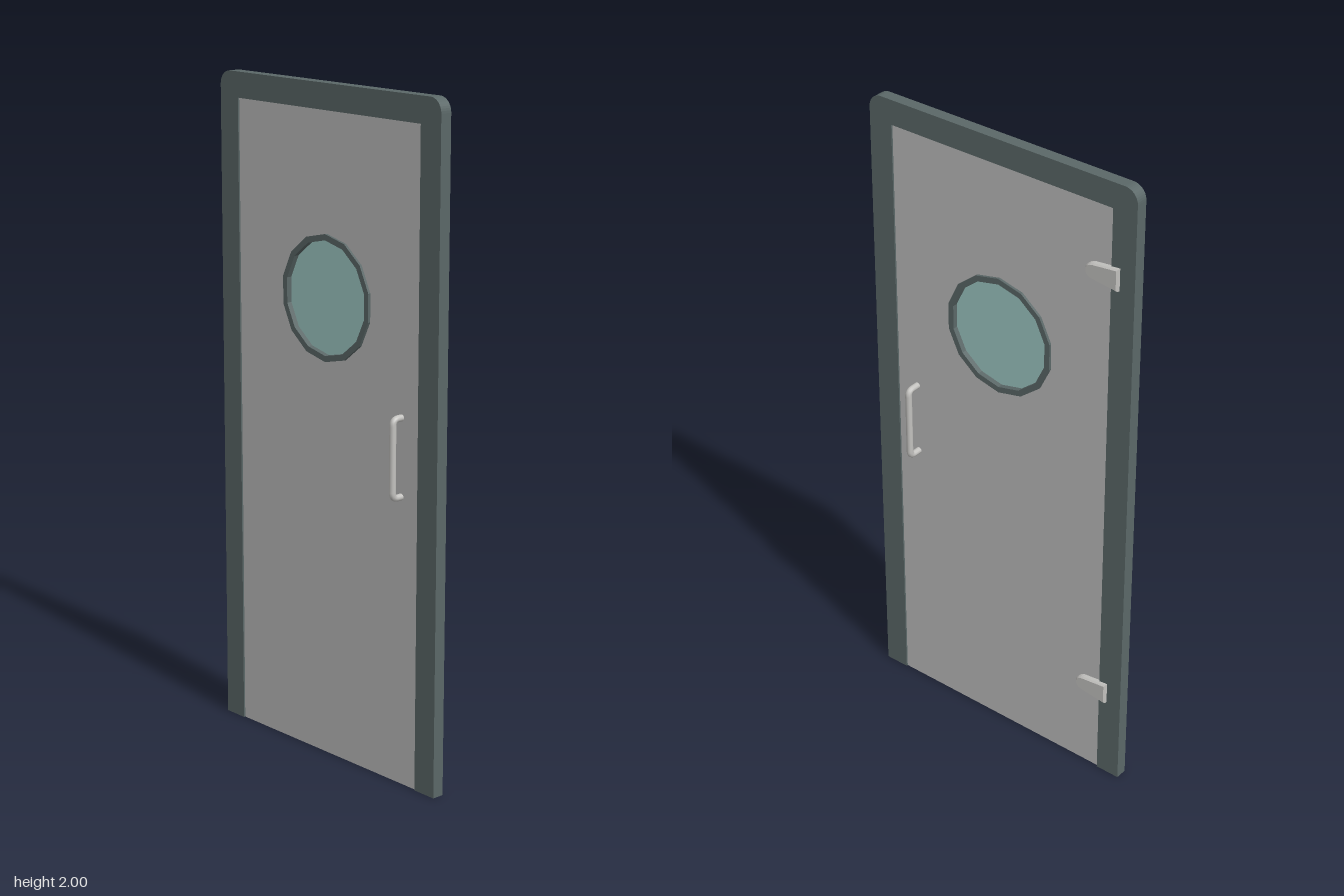
import * as THREE from 'three';

export function createModel() {
  const door = new THREE.Group();
  door.name = 'door';
  const mat = (name, color) => {
    const m = new THREE.MeshStandardMaterial({ color });
    m.name = name;
    return m;
  };
  const frameGrey = mat('frame grey', 0x5b6868);
  const panelGrey = mat('panel grey', 0xbfbfbf);
  const glassTeal = mat('glass teal', 0xa0cbc6);
  const metal = mat('brushed metal', 0xc4c3c0);

  const add = (name, geometry, material) => {
    const mesh = new THREE.Mesh(geometry, material);
    mesh.name = name;
    door.add(mesh);
    return mesh;
  };
  // Extrudes a profile along x from x0 to x1; the profile's own x runs towards -z
  const slab = (shape, x0, x1, opts = {}) => {
    const g = new THREE.ExtrudeGeometry(shape, { depth: x1 - x0, bevelEnabled: false, curveSegments: 5, ...opts });
    g.translate(0, 0, x0);
    g.rotateY(Math.PI / 2);
    return g;
  };
  const polygon = (radius, sides = 14) => Array.from({ length: sides }, (_, i) => {
    const a = Math.PI / 2 + (i / sides) * Math.PI * 2;
    return new THREE.Vector2(Math.cos(a) * radius, 1.388 + Math.sin(a) * radius);
  });

  // Frame: two jambs and a header with rounded outer corners
  const W = 0.46, IN = 0.382, TOP = 1.924, R = 0.042;
  const frame = new THREE.Shape();
  frame.moveTo(-W, 0);
  frame.lineTo(-IN, 0);
  frame.lineTo(-IN, TOP);
  frame.lineTo(IN, TOP);
  frame.lineTo(IN, 0);
  frame.lineTo(W, 0);
  frame.lineTo(W, 2 - R);
  frame.absarc(W - R, 2 - R, R, 0, Math.PI / 2, false);
  frame.lineTo(-W + R, 2);
  frame.absarc(-W + R, 2 - R, R, Math.PI / 2, Math.PI, false);
  frame.closePath();
  add('frame', slab(frame, -0.022, 0.015), frameGrey);

  // Leaf, slightly recessed, with a porthole cut through
  const leaf = new THREE.Shape([[-IN, 0], [IN, 0], [IN, TOP], [-IN, TOP]].map(p => new THREE.Vector2(...p)));
  leaf.holes.push(new THREE.Path(polygon(0.176)));
  add('doorPanel', slab(leaf, -0.017, 0.01), panelGrey);

  // Porthole ring and glass
  const ring = new THREE.Shape(polygon(0.186));
  ring.holes.push(new THREE.Path(polygon(0.168)));
  add('windowRing', slab(ring, -0.025, 0.018), frameGrey);
  add('windowGlass', slab(new THREE.Shape(polygon(0.17)), -0.009, 0.002), glassTeal);

  // Pull handle: one rounded loop passing through the leaf
  const hx = 0.051, y0 = 0.866, y1 = 1.096, r = 0.018;
  const V = (x, y) => new THREE.Vector3(x, y, 0.312);
  const corners = [[hx, y0, 0, 1, -1, 0], [hx, y1, -1, 0, 0, -1], [-hx, y1, 0, -1, 1, 0], [-hx, y0, 1, 0, 0, 1]];
  const loop = new THREE.CurvePath();
  corners.forEach(([x, y, ox, oy, ix, iy], i) => {
    const [nx, ny, , , jx, jy] = corners[(i + 1) % 4];
    const out = V(x + ox * r, y + oy * r);
    loop.add(new THREE.QuadraticBezierCurve3(V(x + ix * r, y + iy * r), V(x, y), out));
    loop.add(new THREE.LineCurve3(out, V(nx + jx * r, ny + jy * r)));
  });
  add('handle', new THREE.TubeGeometry(loop, 120, 0.01, 10, true), metal);

  // Tapered hinge plates with bevelled edges
  for (const [name, y] of [['upperHinge', 1.72], ['lowerHinge', 0.305]]) {
    const s = new THREE.Shape();
    s.moveTo(0.407, -0.03);
    s.lineTo(0.407, 0.03);
    s.lineTo(0.33, 0.021);
    s.quadraticCurveTo(0.306, 0.018, 0.306, 0);
    s.quadraticCurveTo(0.306, -0.018, 0.33, -0.021);
    s.closePath();
    const g = slab(s, 0.008, 0.023, {
      bevelEnabled: true, bevelThickness: 0.005, bevelSize: 0.004, bevelSegments: 1,
    });
    add(name, g, metal).position.y = y;
  }
  return door;
}
